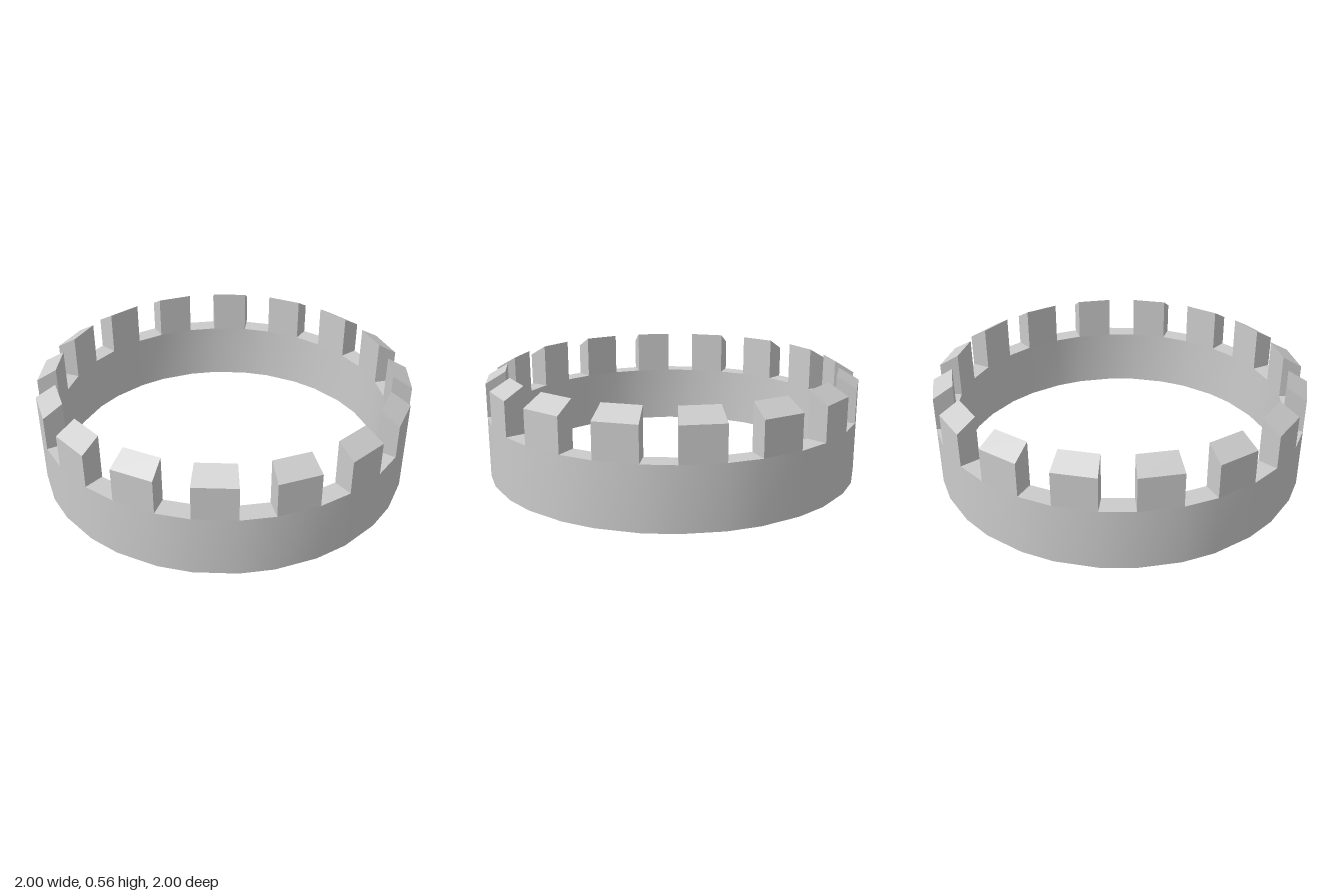
import * as THREE from 'three';
import { toCreasedNormals } from 'three/addons/utils/BufferGeometryUtils.js';

const TEETH = 16;
const STEP = (Math.PI * 2) / TEETH;
const START = THREE.MathUtils.degToRad(-12.1); // tooth edges around the +z axis
const END = THREE.MathUtils.degToRad(0.5);
const OUTER = 1, INNER = 0.895;
const FLOOR = 0.325, TOP_OUTER = 0.505, TOP_INNER = 0.565;

// Point at radius r, height y and angle a (0 = front, growing towards +x)
const point = ([r, y], a) => [r * Math.sin(a), y, r * Math.cos(a)];

// Sweeps a profile of [radius, height] points between two angles
function sweep(out, profile, a0, a1) {
  for (let i = 0; i < profile.length - 1; i++) {
    const a = point(profile[i], a0), b = point(profile[i], a1);
    const c = point(profile[i + 1], a1), d = point(profile[i + 1], a0);
    out.push(...a, ...b, ...c, ...a, ...c, ...d);
  }
}

// Closes a four-point profile at one angle
function cap(out, profile, angle, flip) {
  const [a, b, c, d] = profile.map((p) => point(p, angle));
  if (flip) out.push(...a, ...b, ...c, ...a, ...c, ...d);
  else out.push(...a, ...d, ...c, ...a, ...c, ...b);
}

function makeMesh(name, positions) {
  const geometry = new THREE.BufferGeometry();
  geometry.setAttribute('position', new THREE.Float32BufferAttribute(positions, 3));
  const material = new THREE.MeshStandardMaterial({ color: 0xcccccc });
  const mesh = new THREE.Mesh(toCreasedNormals(geometry, 0.6), material);
  mesh.name = name;
  return mesh;
}

export function createModel() {
  const group = new THREE.Group();
  group.name = 'crenellatedRing';

  // Lower band: walls and underside all round, floors only in the notches
  const band = [];
  const shell = [[INNER, FLOOR], [INNER, 0], [OUTER, 0], [OUTER, FLOOR]];
  for (let i = 0; i < TEETH; i++) {
    const a = i * STEP;
    sweep(band, shell, a + START, a + END);
    sweep(band, [...shell, shell[0]], a + END, a + START + STEP);
  }
  group.add(makeMesh('band', band));

  // One upright tooth with a sloping top, repeated around the ring
  const profile = [[OUTER, FLOOR], [OUTER, TOP_OUTER], [INNER, TOP_INNER], [INNER, FLOOR]];
  const toothPositions = [];
  sweep(toothPositions, profile, START, END);
  cap(toothPositions, profile, START, true);
  cap(toothPositions, profile, END, false);
  const tooth = makeMesh('tooth', toothPositions);
  for (let i = 0; i < TEETH; i++) {
    const copy = tooth.clone();
    copy.name = `tooth${i + 1}`;
    copy.rotation.y = i * STEP;
    group.add(copy);
  }
  return group;
}
